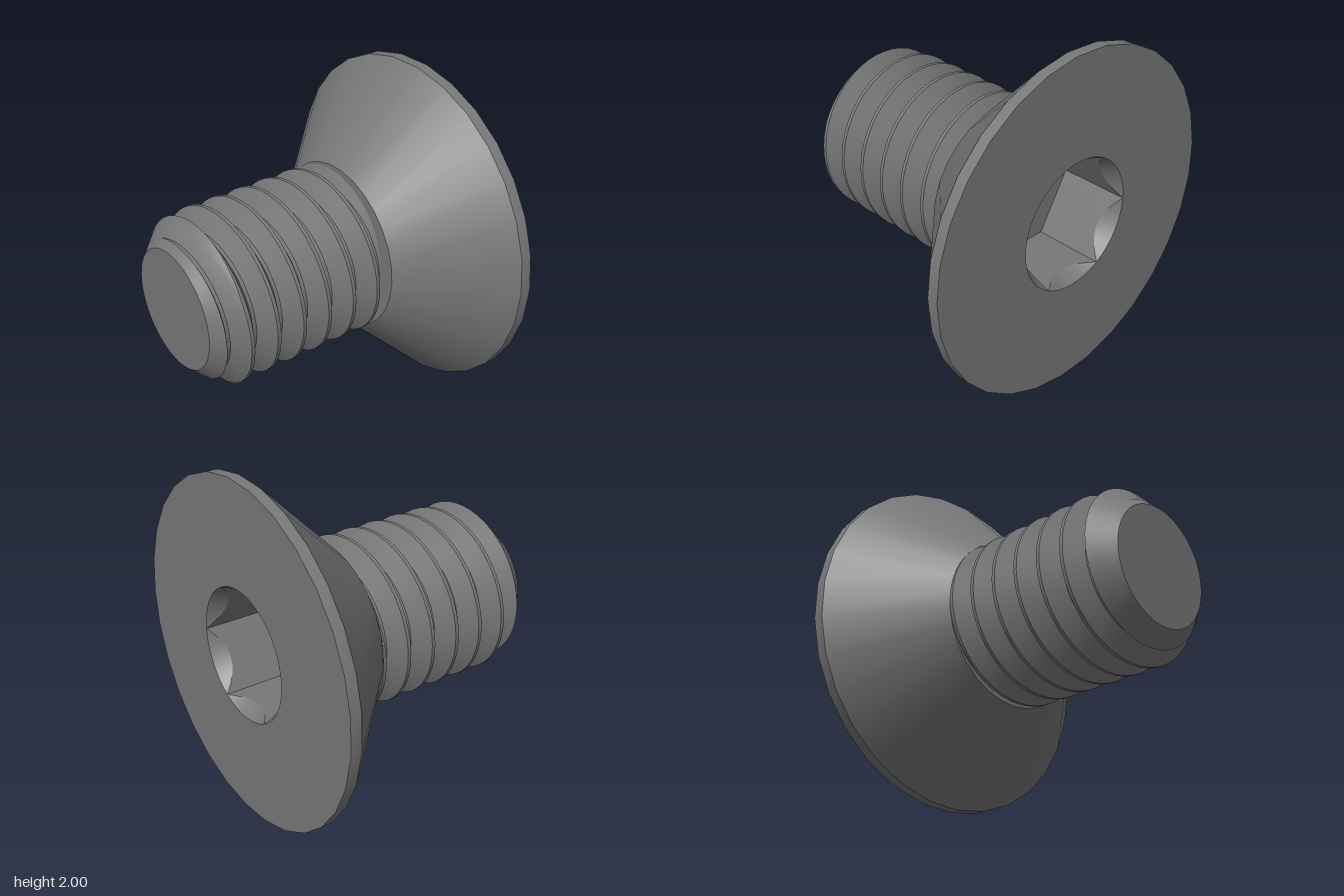
import * as THREE from 'three';
import { toCreasedNormals } from 'three/addons/utils/BufferGeometryUtils.js';

const TAU = Math.PI * 2;
const CREASE = 0.4;
const TIP = -0.833, NECK = 0.267, RIM = 0.767, FACE = 0.833; // stations along the screw axis
const PITCH = 1 / 6, MAJOR = 0.5, MINOR = 0.392;
const APOTHEM = 0.333, CORNER = APOTHEM / Math.cos(Math.PI / 6);
const SOCKET_DEPTH = 0.417, HEAD_SIDES = 29;

const clamp = THREE.MathUtils.clamp;

// Skin around the x axis: stationsAt(angle) lists [x, radius]; angle 0 is up and turns toward +z.
function skin(sides, startAngle, stationsAt) {
  const columns = [];
  for (let i = 0; i <= sides; i++) {
    const a = startAngle + (i / sides) * TAU;
    columns.push(stationsAt((i / sides) * TAU).map(([x, r]) =>
      new THREE.Vector3(x, 1 + r * Math.cos(a), r * Math.sin(a))));
  }
  const positions = [];
  const triangle = (p, q, s) => {
    const area = q.clone().sub(p).cross(s.clone().sub(p)).length();
    if (area > 1e-9) for (const v of [p, q, s]) positions.push(v.x, v.y, v.z);
  };
  for (let i = 0; i < sides; i++) {
    const c = columns[i], d = columns[i + 1];
    for (let j = 0; j < c.length - 1; j++) {
      triangle(c[j], d[j], c[j + 1]);
      triangle(d[j], d[j + 1], c[j + 1]);
    }
  }
  const geometry = new THREE.BufferGeometry();
  geometry.setAttribute('position', new THREE.Float32BufferAttribute(positions, 3));
  return toCreasedNormals(geometry, CREASE);
}

// Helical thread cut back by the 45 degree chamfer at the tip
function threadStations(angle) {
  const crest = -0.035 + (PITCH * angle) / TAU;
  const chamfer = x => 0.35 + x - TIP;
  const thread = x => {
    const turns = (x - crest) / PITCH;
    const d = Math.abs(turns - Math.round(turns));
    return MAJOR - (MAJOR - MINOR) * clamp((d - 1 / 16) / (6 / 16), 0, 1);
  };
  const stations = [[TIP, 0]];
  const add = x => {
    const cx = clamp(x, TIP, NECK);
    stations.push([cx, Math.min(thread(cx), chamfer(cx))]);
  };
  const breaks = [-1 / 16, 1 / 16, 7 / 16, 9 / 16, 15 / 16];
  for (let k = -7; k <= 3; k++) {
    for (let b = 0; b < 4; b++) {
      const s = crest + (k + breaks[b]) * PITCH;
      const e = crest + (k + breaks[b + 1]) * PITCH;
      const fs = thread(s) - chamfer(s), fe = thread(e) - chamfer(e);
      add(s);
      add(s + (e - s) * clamp(fs / (fs - fe), 0, 1)); // where thread meets chamfer
    }
  }
  return stations;
}

// Hexagonal socket with a conical lead-in, corners on the z axis
function socketStations(angle) {
  const sector = Math.PI / 3;
  const local = angle - Math.round(angle / sector) * sector;
  const r = APOTHEM / Math.cos(local);
  const leadIn = Math.sqrt(3) * (CORNER - r);
  const floor = FACE - SOCKET_DEPTH;
  return [[FACE, CORNER], [FACE - leadIn, r], [floor, r], [floor, 0]];
}

// Flat face of the head with a round opening
function headFace() {
  const ring = (n, r, start) => Array.from({ length: n }, (_, i) => {
    const a = start + (i / n) * TAU;
    return new THREE.Vector2(r * Math.cos(a), r * Math.sin(a));
  });
  const shape = new THREE.Shape(ring(HEAD_SIDES, 1, Math.PI));
  shape.holes.push(new THREE.Path(ring(48, CORNER, 0)));
  return new THREE.ShapeGeometry(shape).rotateY(Math.PI / 2).translate(FACE, 1, 0);
}

export function createModel() {
  const steel = new THREE.MeshStandardMaterial({ color: 0x787878 });
  const model = new THREE.Group();
  model.name = 'countersunkScrew';
  const add = (name, geometry) => {
    const mesh = new THREE.Mesh(geometry, steel);
    mesh.name = name;
    model.add(mesh);
  };

  add('threadedShank', skin(48, 0, threadStations));
  add('headCone', skin(HEAD_SIDES, Math.PI / 2, () =>
    [[NECK, 0.38], [NECK, 0.5], [RIM, 1], [FACE, 1]]));
  add('headFace', headFace());
  add('hexSocket', skin(48, 0, socketStations));
  return model;
}
